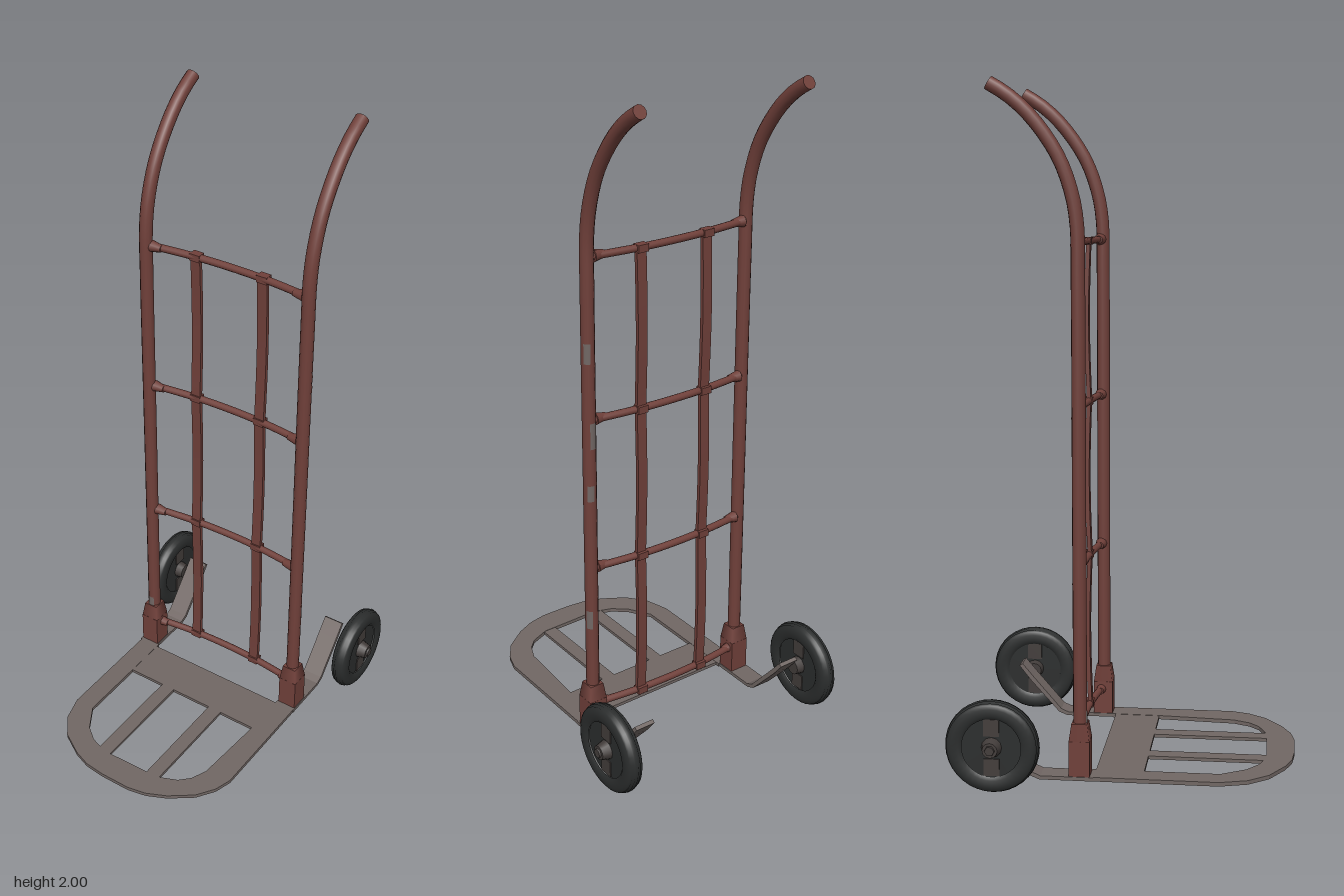
import * as THREE from 'three';

const mat = (name, color, side = THREE.FrontSide) => {
  const m = new THREE.MeshStandardMaterial({ color, side });
  m.name = name;
  return m;
};
const V = (x, y, z) => new THREE.Vector3(x, y, z);

export function createModel() {
  const red = mat('rust red paint', 0x70403a);
  const steel = mat('worn steel', 0x716764);
  const rubber = mat('black rubber', 0x2b2d2d, THREE.DoubleSide);
  const metal = mat('dark hub metal', 0x433d3b);

  const root = new THREE.Group();
  root.name = 'handTruck';
  const add = (name, geo, material, pos = [0, 0, 0], parent = root) => {
    const m = new THREE.Mesh(geo, material);
    m.name = name;
    m.position.set(...pos);
    parent.add(m);
    return m;
  };
  const box = (name, w, h, d, material, pos, parent) =>
    add(name, new THREE.BoxGeometry(w, h, d), material, pos, parent);
  // Round bar through points with flat end caps
  const bar = (name, pts, r, material, seg = 24) => {
    const curve = new THREE.CatmullRomCurve3(pts);
    add(name, new THREE.TubeGeometry(curve, seg, r, 12), material);
    [0, 1].forEach((t) => {
      const cap = add(name + 'Cap', new THREE.CircleGeometry(r, 12), material);
      cap.position.copy(curve.getPointAt(t));
      const dir = curve.getTangentAt(t).multiplyScalar(t ? 1 : -1);
      cap.quaternion.setFromUnitVectors(V(0, 0, 1), dir);
    });
  };

  const MID = -0.011, RAIL = 0.275, RAIL_Z = -0.12;
  const barHeights = [0.115, 0.59, 1.065, 1.545];

  [-1, 1].forEach((s) => {
    const x = MID + s * RAIL;
    const side = s < 0 ? 'right' : 'left';

    // Upright with curved handle
    bar(side + 'Rail', [
      V(x, 0.04, RAIL_Z), V(x, 0.8, RAIL_Z), V(x, 1.45, RAIL_Z), V(x, 1.6, RAIL_Z - 0.002),
      V(x, 1.69, -0.137), V(x, 1.79, -0.175), V(x, 1.89, -0.245), V(x, 1.95, -0.31), V(x, 1.982, -0.362),
    ], 0.02, red, 60);

    // Socket at the foot: wide box, tapered collar
    box(side + 'Socket', 0.06, 0.115, 0.06, red, [x, 0.0825, RAIL_Z]);
    const collar = new THREE.CylinderGeometry(0.032, 0.042, 0.05, 4, 1);
    collar.rotateY(Math.PI / 4);
    add(side + 'SocketCollar', collar, red, [x, 0.165, RAIL_Z]);

    // Strap that continues the foot frame back and up to the wheel
    const strap = new THREE.Shape();
    [[0.08, 0.025], [0.235, 0.025], [0.262, 0.036], [0.355, 0.14], [0.39, 0.185],
      [0.38, 0.192], [0.345, 0.15], [0.255, 0.046], [0.232, 0.036], [0.08, 0.036]]
      .forEach(([a, b], i) => (i ? strap.lineTo(a, b) : strap.moveTo(a, b)));
    const sg = new THREE.ExtrudeGeometry(strap, { depth: 0.065, bevelEnabled: false });
    sg.rotateY(Math.PI / 2);
    add(side + 'AxleStrap', sg, steel, [x - 0.0325, 0, 0]);

    // Flared welds where the crossbars meet the rail
    barHeights.forEach((y) => {
      const g = new THREE.CylinderGeometry(0.011, 0.018, 0.035, 10);
      g.rotateZ(s * Math.PI / 2);
      add(side + 'Weld', g, red, [x - s * 0.034, y, RAIL_Z - 0.006]);
    });

    // Chipped paint patches
    [[0.2, 0.05, 0], [0.42, 0.06, 2.2], [0.84, 0.05, 2.7], [1.02, 0.08, 3.2], [1.27, 0.06, 2.4]]
      .filter((_, i) => s > 0 ? i > 0 : i === 0)
      .forEach(([y, h, a]) => add(side + 'PaintChip',
        new THREE.CylinderGeometry(0.0206, 0.0206, h, 6, 1, true, a - 0.5, 1), steel, [x, y, RAIL_Z]));
  });

  // Bowed crossbars
  barHeights.forEach((y) => bar('crossbar', [
    V(MID - RAIL, y, -0.125), V(MID - 0.12, y, -0.142), V(MID, y, -0.146),
    V(MID + 0.12, y, -0.142), V(MID + RAIL, y, -0.125),
  ], 0.011, red));

  // Vertical slats bulging slightly between crossbars
  [-0.125, 0.102].forEach((x) => {
    const g = new THREE.BoxGeometry(0.032, 1.43, 0.012, 1, 36, 1);
    const p = g.attributes.position;
    for (let i = 0; i < p.count; i++) {
      const t = (p.getY(i) + 0.715) / 1.43;
      p.setZ(i, p.getZ(i) - 0.006 * Math.abs(Math.sin(t * Math.PI * 3)));
    }
    g.computeVertexNormals();
    add('backSlat', g, red, [x, 0.83, -0.142]);
    barHeights.forEach((y) => box('slatClamp', 0.034, 0.022, 0.026, red, [x, y, -0.145]));
  });

  // U-shaped foot frame, drawn in x and z
  const frame = new THREE.Shape();
  [[-0.315, -0.09], [-0.315, 0.28], [-0.292, 0.36], [-0.245, 0.42], [-0.17, 0.465], [-0.115, 0.485], [-0.05, 0.492],
    [0.05, 0.492], [0.11, 0.48], [0.17, 0.452], [0.24, 0.4], [0.278, 0.345], [0.295, 0.29], [0.295, -0.09],
    [0.23, -0.09], [0.228, 0.06], [0.212, 0.3], [0.19, 0.35], [0.16, 0.38], [0.1, 0.405], [-0.1, 0.41],
    [-0.16, 0.39], [-0.205, 0.355], [-0.25, 0.28], [-0.25, -0.09]]
    .forEach(([a, b], i) => (i ? frame.lineTo(a, b) : frame.moveTo(a, b)));
  const fg = new THREE.ExtrudeGeometry(frame, { depth: 0.012, bevelEnabled: false });
  fg.rotateX(Math.PI / 2);
  add('footFrame', fg, steel, [0, 0.036, 0]);
  box('footPlate', 0.484, 0.01, 0.14, steel, [MID, 0.03, -0.009]);
  [-0.104, 0.082].forEach((x) => box('footSlat', 0.046, 0.01, 0.37, steel, [x, 0.03, 0.235]));

  // Wheels
  const tyre = [[0.085, -0.02], [0.095, -0.027], [0.115, -0.027], [0.125, -0.022], [0.13, -0.018], [0.128, -0.013],
    [0.134, -0.009], [0.132, -0.005], [0.136, 0], [0.132, 0.005], [0.134, 0.009], [0.128, 0.013], [0.13, 0.018],
    [0.125, 0.022], [0.115, 0.027], [0.095, 0.027], [0.085, 0.02]].map(([a, b]) => new THREE.Vector2(a, b));
  [-1, 1].forEach((s) => {
    const wheel = new THREE.Group();
    wheel.name = s < 0 ? 'rightWheel' : 'leftWheel';
    wheel.position.set(s * 0.367, 0.139, -0.36);
    wheel.rotation.z = -s * Math.PI / 2; // local +y points outward
    root.add(wheel);
    add('tyre', new THREE.LatheGeometry(tyre, 36), rubber, [0, 0, 0], wheel);
    add('wheelDisc', new THREE.CylinderGeometry(0.088, 0.088, 0.03, 32), rubber, [0, 0, 0], wheel);
    [-1, 1].forEach((f) => [-1, 1].forEach((e) =>
      box('discPlate', 0.05, 0.006, 0.045, metal, [e * 0.058, f * 0.0155, 0], wheel).rotation.y = 0));
    add('hub', new THREE.CylinderGeometry(0.022, 0.03, 0.03, 12), metal, [0, 0.028, 0], wheel);
    add('axleNut', new THREE.CylinderGeometry(0.014, 0.016, 0.012, 6), metal, [0, 0.043, 0], wheel);
    add('innerHub', new THREE.CylinderGeometry(0.03, 0.024, 0.035, 12), metal, [0, -0.022, 0], wheel);
  });

  return root;
}
